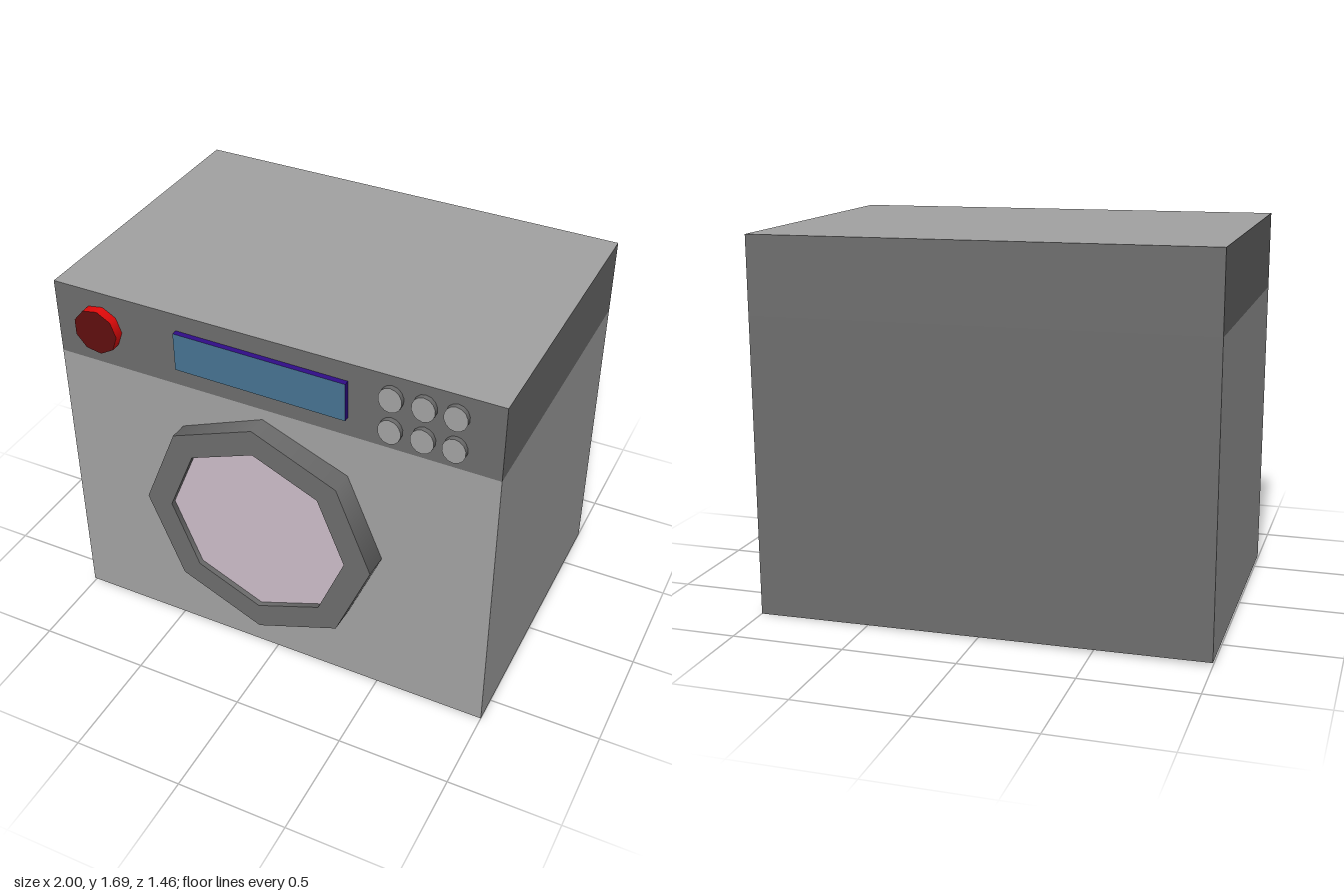
import * as THREE from 'three';

const mat = (name, color) => {
  const m = new THREE.MeshStandardMaterial({ color });
  m.name = name;
  return m;
};

export function createModel() {
  const light = mat('light grey', 0xa2a2a2);
  const dark = mat('dark grey', 0x6d6d6d);
  const glass = mat('pale pink glass', 0xcdbdc9);
  const red = mat('red', 0xe60a0a);
  const darkRed = mat('dark red', 0x600f0f);
  const blue = mat('display blue', 0x467391);
  const purple = mat('display purple', 0x300d88);

  const model = new THREE.Group();
  model.name = 'washingMachine';
  const add = (parent, name, geometry, material, x = 0, y = 0, z = 0) => {
    const mesh = new THREE.Mesh(geometry, material);
    mesh.name = name;
    mesh.position.set(x, y, z);
    parent.add(mesh);
    return mesh;
  };

  // Box spanning y0..y1, with level edges dropping slightly towards +x
  const slopedBox = (x0, x1, y0, y1, z0, z1, slope) => {
    const g = new THREE.BoxGeometry(x1 - x0, y1 - y0, z1 - z0);
    g.translate((x0 + x1) / 2, (y0 + y1) / 2, (z0 + z1) / 2);
    const p = g.attributes.position;
    const mid = (x0 + x1) / 2;
    for (let i = 0; i < p.count; i++) p.setY(i, p.getY(i) - slope * (p.getX(i) - mid));
    g.computeVertexNormals();
    return g;
  };

  // Disc facing +z, its back at z = 0
  const disc = (radius, depth, sides, start = 0) =>
    new THREE.CylinderGeometry(radius, radius, depth, sides, 1, false, start)
      .rotateX(Math.PI / 2).translate(0, 0, depth / 2);

  const front = 0.617, back = -0.733;

  // Cabinet and control panel band; the back and underside are dark
  add(model, 'cabinet', slopedBox(-1, 1, 0.008, 1.338, back, front, 0.0075),
    [light, light, light, dark, light, dark]);
  add(model, 'controlBand', slopedBox(-1, 1, 1.338, 1.682, back, front, 0.0075),
    [dark, dark, light, dark, dark, dark]);

  // Octagonal door, slightly ajar towards +x
  const door = new THREE.Group();
  door.name = 'door';
  door.position.set(-0.038, 0.742, 0.708);
  door.rotation.y = -0.032;
  model.add(door);
  const outer = 0.545, inner = 0.423, recess = 0.025;
  const wall = (r, depth) => new THREE.CylinderGeometry(r, r, depth, 8, 1, true)
    .rotateX(Math.PI / 2).translate(0, 0, -depth / 2);
  const innerWall = dark.clone();
  innerWall.side = THREE.BackSide;
  add(door, 'doorRim', wall(outer, 0.12), dark);
  add(door, 'doorRimInside', wall(inner, recess), innerWall);
  add(door, 'doorFrame', new THREE.RingGeometry(inner, outer, 8), dark);
  add(door, 'doorGlass', new THREE.CircleGeometry(inner, 8), glass, 0, 0, -recess);

  // Dial with nine sides
  add(model, 'dial', disc(0.103, 0.043, 9, Math.PI / 2), [red, darkRed, darkRed], -0.788, 1.52, front);

  // Display screen
  add(model, 'display', slopedBox(-0.42, 0.35, 1.427, 1.602, front - 0.01, 0.642, 0.014),
    [purple, purple, purple, purple, blue, purple]);

  // Two rows of three buttons
  for (const x of [0.536, 0.674, 0.806]) {
    for (const y of [1.577, 1.426]) {
      add(model, 'button', disc(1, 0.022, 14), [dark, light, dark], x, y, front).scale.set(0.05, 0.057, 1);
    }
  }
  return model;
}
